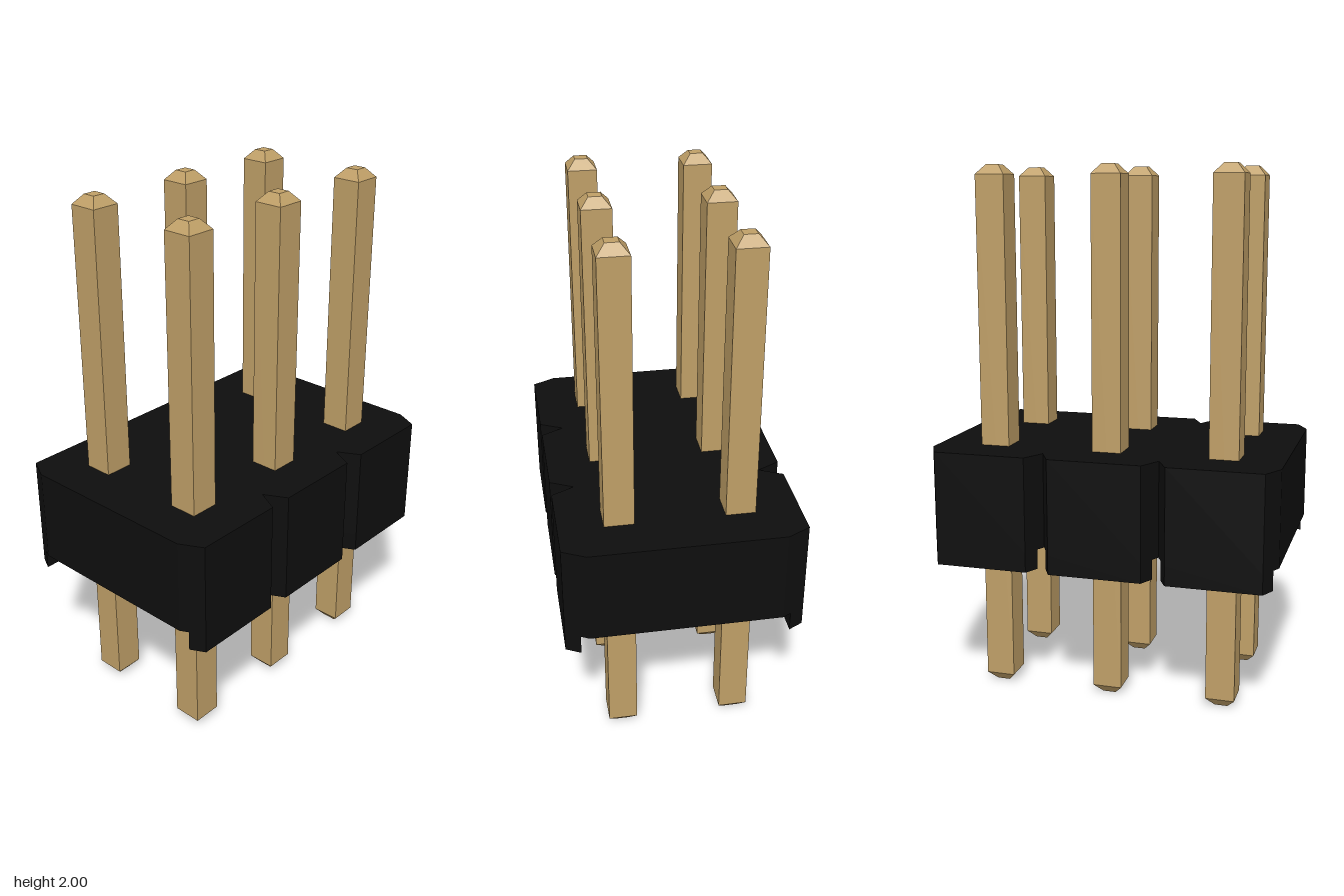
import * as THREE from 'three';

const PITCH = 0.44;
const HALF_W = 0.44;      // outer side of the housing
const NOTCH_X = 0.354;    // depth of corner chamfers and side notches
const FLAT = 0.176;       // half length of each flat side
const FOOT_X = 0.385;     // inner side of the feet
const ROWS = [-PITCH, 0, PITCH];

// Extrude an x/z outline upwards from y0 to y1
function slab(points, y0, y1) {
  const shape = new THREE.Shape(points.map(([x, z]) => new THREE.Vector2(x, -z)));
  const geo = new THREE.ExtrudeGeometry(shape, { depth: y1 - y0, bevelEnabled: false });
  return geo.rotateX(-Math.PI / 2).translate(0, y0, 0);
}

export function createModel() {
  const plastic = new THREE.MeshStandardMaterial({ color: 0x0e0e0e });
  plastic.name = 'black plastic';
  const metal = new THREE.MeshStandardMaterial({ color: 0xbf9f67 });
  metal.name = 'gold metal';

  const model = new THREE.Group();
  model.name = 'pinHeader';
  const add = (name, geo, mat) => {
    const mesh = new THREE.Mesh(geo, mat);
    mesh.name = name;
    model.add(mesh);
    return mesh;
  };

  // Housing: three joined cells with chamfered corners and V notches
  const side = [[NOTCH_X, -1.5 * PITCH]];
  for (const z of ROWS) {
    side.push([HALF_W, z - FLAT], [HALF_W, z + FLAT], [NOTCH_X, z + PITCH / 2]);
  }
  const outline = [...side, ...side.map(([x, z]) => [-x, -z])];
  add('housing', slab(outline, 0.6, 0.96), plastic);

  // Feet under both long sides, following the chamfers
  const t = (HALF_W - FOOT_X) / (HALF_W - NOTCH_X);
  const end = FLAT + (PITCH / 2 - FLAT) * t;
  for (const s of [-1, 1]) {
    for (const z of ROWS) {
      const foot = [[FOOT_X, -end], [HALF_W, -FLAT], [HALF_W, FLAT], [FOOT_X, end]];
      add('foot', slab(foot.map(([x, dz]) => [s * x, z + dz]), 0.525, 0.6), plastic);
    }
  }

  // Square pins with tapered tips, from a four-sided lathe profile
  const r = Math.SQRT2;
  const profile = [[0, 0], [0.024, 0], [0.055, 0.035], [0.055, 1.965], [0.024, 2], [0, 2]]
    .map(([x, y]) => new THREE.Vector2(x * r, y));
  const pinGeo = new THREE.LatheGeometry(profile, 4).rotateY(Math.PI / 4).toNonIndexed();
  pinGeo.computeVertexNormals();
  for (const x of [-PITCH / 2, PITCH / 2]) {
    for (const z of ROWS) add('pin', pinGeo, metal).position.set(x, 0, z);
  }
  return model;
}
